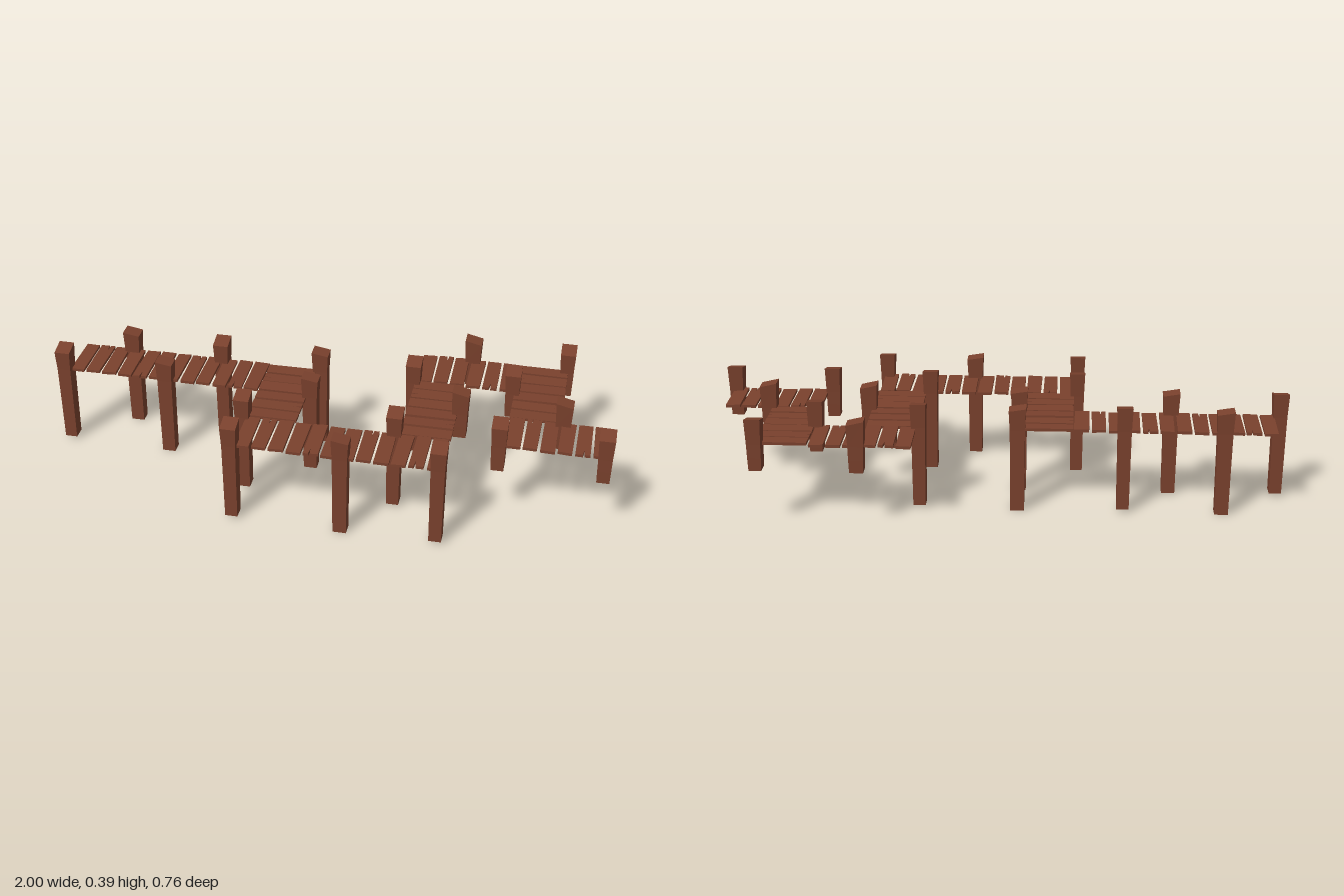
import * as THREE from 'three';

// small seeded random, -1..1
function makeRandom(seed) {
  let s = seed;
  return () => {
    s = (s * 16807) % 2147483647;
    return (s / 2147483647) * 2 - 1;
  };
}

// square post: straight shaft, flared head, slanted top
function postGeometry(bottom, top, slope) {
  const g = new THREE.BoxGeometry(1, 1, 1, 1, 3, 1);
  const p = g.attributes.position;
  const rows = [[bottom, 0.0235], [0.2 + (bottom > 0.1 ? 0.05 : 0), 0.025], [0.3, 0.026], [top, 0.0295]];
  for (let i = 0; i < p.count; i++) {
    const row = Math.round((p.getY(i) + 0.5) * 3);
    const [y, half] = rows[row];
    const sz = Math.sign(p.getZ(i));
    p.setXYZ(i, Math.sign(p.getX(i)) * half * 0.92, y - (row === 3 ? sz * slope : 0), sz * half);
  }
  const flat = g.toNonIndexed();
  flat.computeVertexNormals();
  return flat;
}

// board lying along z, optionally split by a crack at one end
function plankGeometry(width, length, crack) {
  const w = width / 2, l = length / 2;
  const s = new THREE.Shape();
  s.moveTo(-w, -l);
  if (crack) {
    s.lineTo(crack - 0.003, -l);
    s.lineTo(crack, -l + 0.03);
    s.lineTo(crack + 0.003, -l);
  }
  s.lineTo(w, -l);
  s.lineTo(w * 0.96, l);
  s.lineTo(-w * 0.96, l);
  s.closePath();
  const g = new THREE.ExtrudeGeometry(s, { depth: 0.01, bevelEnabled: false });
  g.translate(0, 0, -0.005);
  g.rotateX(-Math.PI / 2);
  return g;
}

export function createModel() {
  const model = new THREE.Group();
  model.name = 'boardwalk';
  const wood = new THREE.MeshStandardMaterial({ color: 0x7a412d, flatShading: true });
  wood.name = 'brown wood';
  const rnd = makeRandom(77);

  // deck runs: direction of travel, x range, z range, number of planks
  const runs = [
    ['x', -0.958, -0.255, -0.176, 0, 12],
    ['z', -0.255, -0.08, -0.176, 0.176, 6],
    ['x', -0.258, 0.455, 0.178, 0.355, 12],
    ['z', 0.28, 0.455, -0.176, 0.178, 6],
    ['x', 0.28, 0.632, -0.353, -0.176, 6],
    ['z', 0.634, 0.81, -0.35, 0, 6],
    ['x', 0.634, 0.985, 0, 0.176, 6],
  ];
  const deck = new THREE.Group();
  deck.name = 'deck';
  for (const [axis, x0, x1, z0, z1, n] of runs) {
    const alongX = axis === 'x';
    const pitch = (alongX ? x1 - x0 : z1 - z0) / n;
    const length = alongX ? z1 - z0 : x1 - x0;
    for (let i = 0; i < n; i++) {
      const crack = i % 3 === 1 ? 0.008 * rnd() + 0.001 : 0;
      const plank = new THREE.Mesh(plankGeometry(pitch - 0.008 + 0.002 * rnd(), length, crack), wood);
      plank.name = 'plank';
      const t = (i + 0.5) * pitch;
      plank.position.set(
        alongX ? x0 + t : (x0 + x1) / 2,
        0.293 + 0.002 * rnd(),
        alongX ? (z0 + z1) / 2 : z0 + t,
      );
      plank.rotation.y = (alongX ? 0 : Math.PI / 2) + (i % 2 ? Math.PI : 0) + 0.015 * rnd();
      plank.rotation.z = 0.05 * rnd();
      deck.add(plank);
    }
  }
  model.add(deck);

  // three kinds of post
  const kinds = {
    tall: postGeometry(0.01, 0.378, 0.007),
    deep: postGeometry(0, 0.373, 0.005),
    short: postGeometry(0.205, 0.383, 0.007),
  };
  // kind, x, z, quarter turns
  const posts = [
    ['tall', -0.973, -0.005, 0], ['deep', -0.77, -0.175, 1], ['deep', -0.595, 0, 1],
    ['tall', -0.43, -0.168, 0], ['deep', -0.065, -0.175, 1], ['deep', -0.065, 0, 1],
    ['tall', -0.267, 0.17, 0], ['tall', -0.267, 0.348, 0], ['deep', 0.113, 0.353, 1],
    ['tall', 0.44, 0.348, 0], ['tall', 0.264, 0.17, 0], ['short', 0.465, 0, 1],
    ['tall', 0.275, -0.168, 0], ['short', 0.465, -0.352, 1], ['short', 0.806, -0.348, 0],
    ['short', 0.628, -0.168, 0], ['short', 0.82, 0, 1], ['short', 0.618, 0.17, 0],
    ['short', 0.972, 0.17, 0],
  ];
  const postGroup = new THREE.Group();
  postGroup.name = 'posts';
  for (const [kind, x, z, turn] of posts) {
    const post = new THREE.Mesh(kinds[kind], wood);
    post.name = kind + 'Post';
    post.position.set(x, 0, z);
    post.rotation.y = turn * Math.PI / 2;
    postGroup.add(post);
  }
  model.add(postGroup);
  return model;
}
